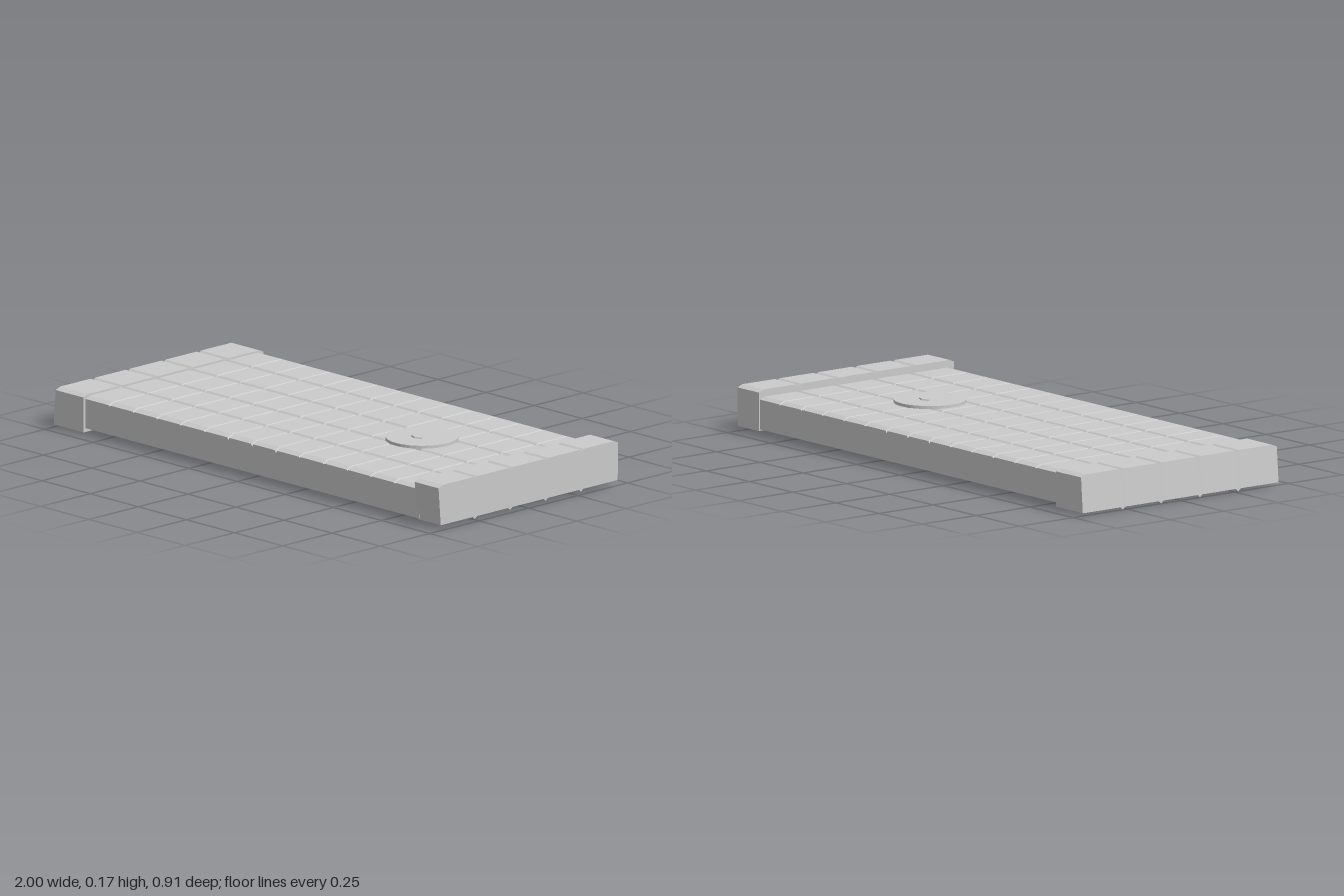
import * as THREE from 'three';

const material = new THREE.MeshStandardMaterial({ color: 0xcccccc, flatShading: true, side: THREE.DoubleSide });

// Plank cross-section: grooves along the top, matching ridges below
function columns({ top, bottom, front, back = front, inset = 0, joints, groove = 0.008, ridge = 0.009 }) {
  const edge = top - 0.009;
  const cols = [[-back, edge, bottom], [-back + 0.022, top, bottom]];
  for (const z of joints) {
    cols.push([z - 0.011, top, bottom], [z, top - groove, bottom - ridge], [z + 0.011, top, bottom]);
  }
  cols.push([front - 0.022, top, bottom], [front, edge, bottom]);
  return cols.map(([z, t, b], i) => ({ z, t, b, zb: i === cols.length - 1 ? z - inset : z }));
}

// Sweeps the cross-section along x; each station is [x at top, x at bottom, drop of the top]
function sweep(name, section, stations) {
  const cols = columns(section);
  const pos = [], index = [], n = cols.length;
  for (const [xt, xb, drop] of stations) {
    for (const c of cols) pos.push(xt, c.t - drop, c.z, xb, c.b, c.zb);
  }
  const at = (j, i, low) => (j * n + i) * 2 + low;
  const quad = (a, b, c, d) => index.push(a, b, c, a, c, d);
  const last = stations.length - 1;
  for (let j = 0; j < last; j++) {
    for (let i = 0; i < n - 1; i++) {
      quad(at(j, i, 0), at(j, i + 1, 0), at(j + 1, i + 1, 0), at(j + 1, i, 0));
      quad(at(j, i, 1), at(j + 1, i, 1), at(j + 1, i + 1, 1), at(j, i + 1, 1));
    }
    quad(at(j, n - 1, 1), at(j + 1, n - 1, 1), at(j + 1, n - 1, 0), at(j, n - 1, 0));
    quad(at(j, 0, 1), at(j, 0, 0), at(j + 1, 0, 0), at(j + 1, 0, 1));
  }
  for (let i = 0; i < n - 1; i++) {
    quad(at(0, i, 1), at(0, i + 1, 1), at(0, i + 1, 0), at(0, i, 0));
    quad(at(last, i, 1), at(last, i, 0), at(last, i + 1, 0), at(last, i + 1, 1));
  }
  const geo = new THREE.BufferGeometry();
  geo.setAttribute('position', new THREE.Float32BufferAttribute(pos, 3));
  geo.setIndex(index);
  const flat = geo.toNonIndexed();
  flat.computeVertexNormals();
  const mesh = new THREE.Mesh(flat, material);
  mesh.name = name;
  return mesh;
}

export function createModel() {
  const group = new THREE.Group();
  group.name = 'plankSlab';

  // Deck with cross joints: faint ones everywhere, three deep ones in the middle
  const stations = [[-0.86, -0.86, 0]];
  for (let k = 0; k < 13; k++) {
    const x = -0.72 + k * 0.1235;
    const deep = k >= 5 && k <= 7;
    const w = deep ? 0.006 : 0.005;
    stations.push([x - w, x - w, 0], [x, x, deep ? 0.009 : 0.004], [x + w, x + w, 0]);
  }
  stations.push([0.89, 0.89, 0]);
  group.add(sweep('deck', {
    top: 0.143, bottom: 0.024, front: 0.445, back: 0.447, joints: [-0.27, -0.093, 0.083, 0.255],
  }, stations));

  // Thicker bands at both ends
  const joints = [-0.268, -0.09, 0.09, 0.268];
  group.add(sweep('lowEndBand', {
    top: 0.15, bottom: 0.01, front: 0.455, joints, ridge: 0.01,
  }, [[-0.99, -1, 0], [-0.845, -0.845, 0]]));
  group.add(sweep('highEndBand', {
    top: 0.17, bottom: 0.019, front: 0.455, back: 0.453, inset: 0.014, joints,
  }, [[0.876, 0.876, 0], [1, 0.997, 0]]));

  // Round plate with a small centre button
  const disc = (name, rTop, rBottom, y0, y1, sides) => {
    const mesh = new THREE.Mesh(new THREE.CylinderGeometry(rTop, rBottom, y1 - y0, sides), material);
    mesh.position.set(0.425, (y0 + y1) / 2, -0.02);
    mesh.name = name;
    group.add(mesh);
  };
  disc('plate', 0.132, 0.132, 0.136, 0.154, 40);
  disc('plateButton', 0.038, 0.042, 0.15, 0.159, 8);

  return group;
}
